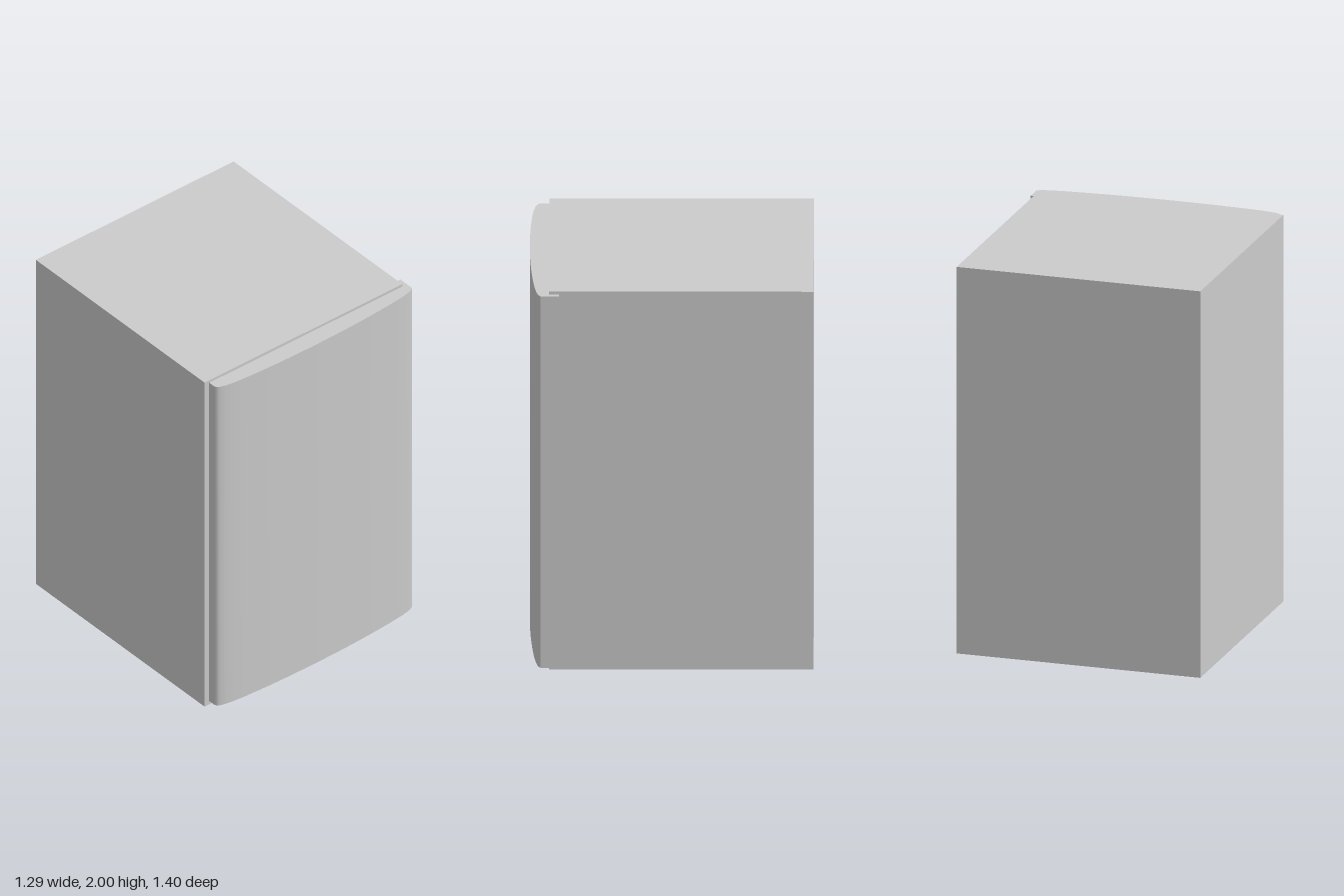
import * as THREE from 'three';
import { toCreasedNormals } from 'three/addons/utils/BufferGeometryUtils.js';

export function createModel() {
  const group = new THREE.Group();
  const material = new THREE.MeshStandardMaterial({ color: 0xcccccc });
  const add = (name, geometry, x, y, z) => {
    const mesh = new THREE.Mesh(geometry, material);
    mesh.name = name;
    mesh.position.set(x, y, z);
    group.add(mesh);
  };

  // Plain cabinet body
  add('cabinet', new THREE.BoxGeometry(1.265, 2, 1.305), -0.0175, 1, -0.0475);

  // Door outline in plan (x, -z): bowed front, with a lip hooking back past the cabinet side
  const bow = [
    [-0.612, 0.658], [-0.595, 0.667], [-0.56, 0.676], [-0.48, 0.686], [-0.3, 0.696], [-0.1, 0.7],
    [0.08, 0.699], [0.25, 0.694], [0.42, 0.684], [0.54, 0.673], [0.615, 0.66], [0.645, 0.645],
  ].map(([x, z]) => new THREE.Vector2(x, -z));
  const outline = new THREE.Shape();
  outline.moveTo(-0.62, -0.605);
  outline.lineTo(-0.62, -0.645);
  outline.splineThru(bow);
  outline.lineTo(0.645, -0.555);
  outline.lineTo(0.619, -0.555);
  outline.lineTo(0.616, -0.555);
  outline.lineTo(0.616, -0.605);
  outline.closePath();

  const door = new THREE.ExtrudeGeometry(outline, { depth: 1.965, bevelEnabled: false, curveSegments: 3 });
  door.rotateX(-Math.PI / 2);
  add('door', toCreasedNormals(door, Math.PI / 6), 0, 0.02, 0);

  // Thin seal strip running behind the door lip
  add('lipSeal', new THREE.BoxGeometry(0.004, 1.965, 0.025), 0.617, 1.0025, 0.5425);

  return group;
}
